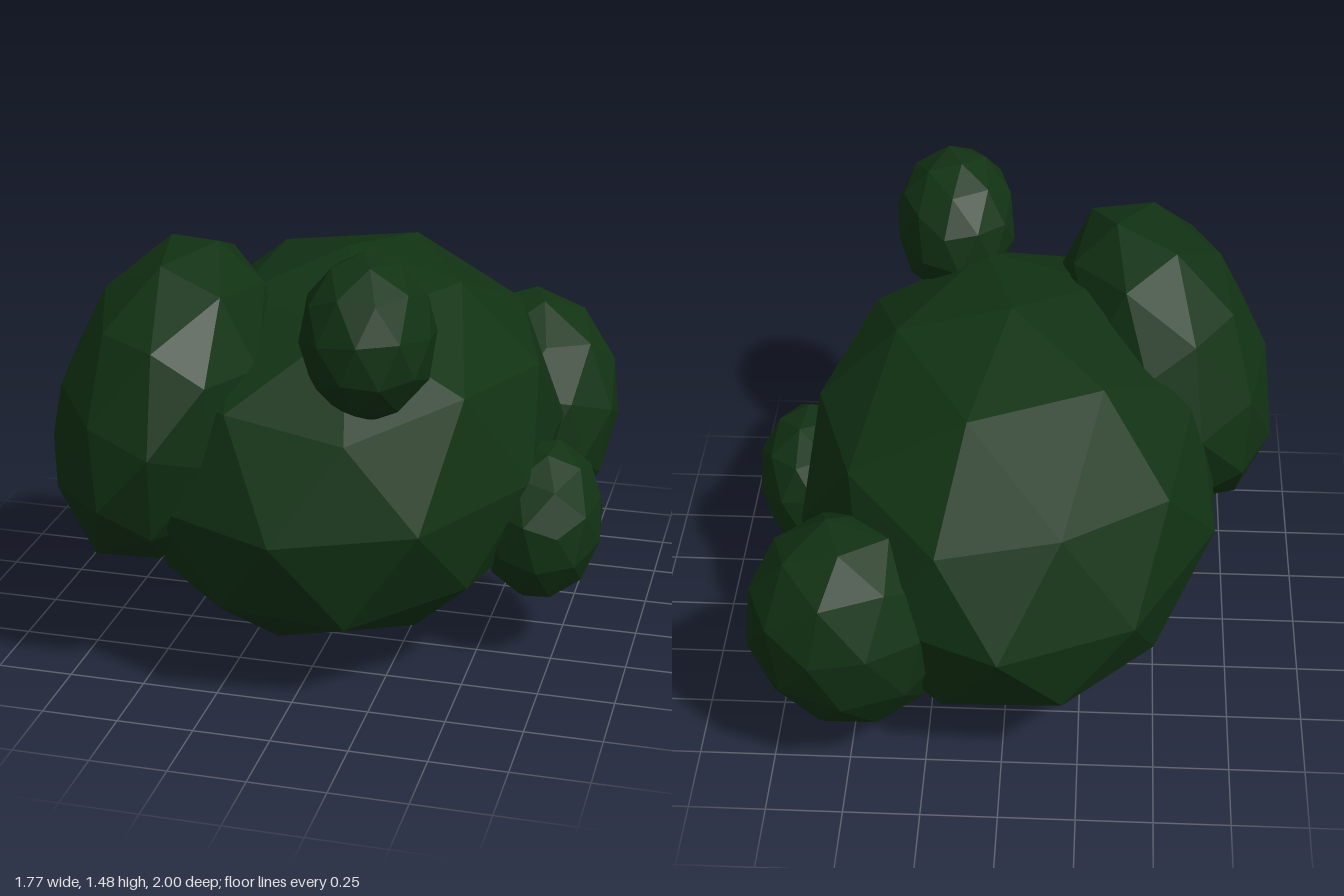
import * as THREE from 'three';

// Low-poly bush: one large faceted clump with four smaller clumps pushed into it
const clumps = [
  // name, centre, radii, tilt
  ['mainClump', [0, 0.65, 0], [0.715, 0.65, 1], [0, 0, 0]],
  ['largeFrontClump', [-0.51, 0.87, 0.41], [0.345, 0.56, 0.55], [0, 0.22, -0.33]],
  ['smallTopClump', [0.225, 1.228, 0.655], [0.21, 0.257, 0.275], [-0.2, 0.1, 0.1]],
  ['smallSideClump', [0.69, 0.465, 0.16], [0.205, 0.268, 0.275], [0.3, 0.1, -0.1]],
  ['rearClump', [0.49, 0.537, -0.665], [0.338, 0.425, 0.325], [-0.4, 0, 0]],
];

export function createModel() {
  const bush = new THREE.Group();
  bush.name = 'bush';

  const material = new THREE.MeshStandardMaterial({ color: 0x123314, flatShading: true });

  // Faceted ball turned so that one corner points straight up
  const ball = new THREE.IcosahedronGeometry(1, 1);
  ball.rotateX(-Math.atan((1 + Math.sqrt(5)) / 2));
  ball.rotateY(Math.PI / 2);

  for (const [name, centre, radii, tilt] of clumps) {
    const clump = new THREE.Mesh(ball, material);
    clump.name = name;
    clump.position.set(...centre);
    clump.scale.set(...radii);
    clump.rotation.set(...tilt);
    bush.add(clump);
  }
  return bush;
}
